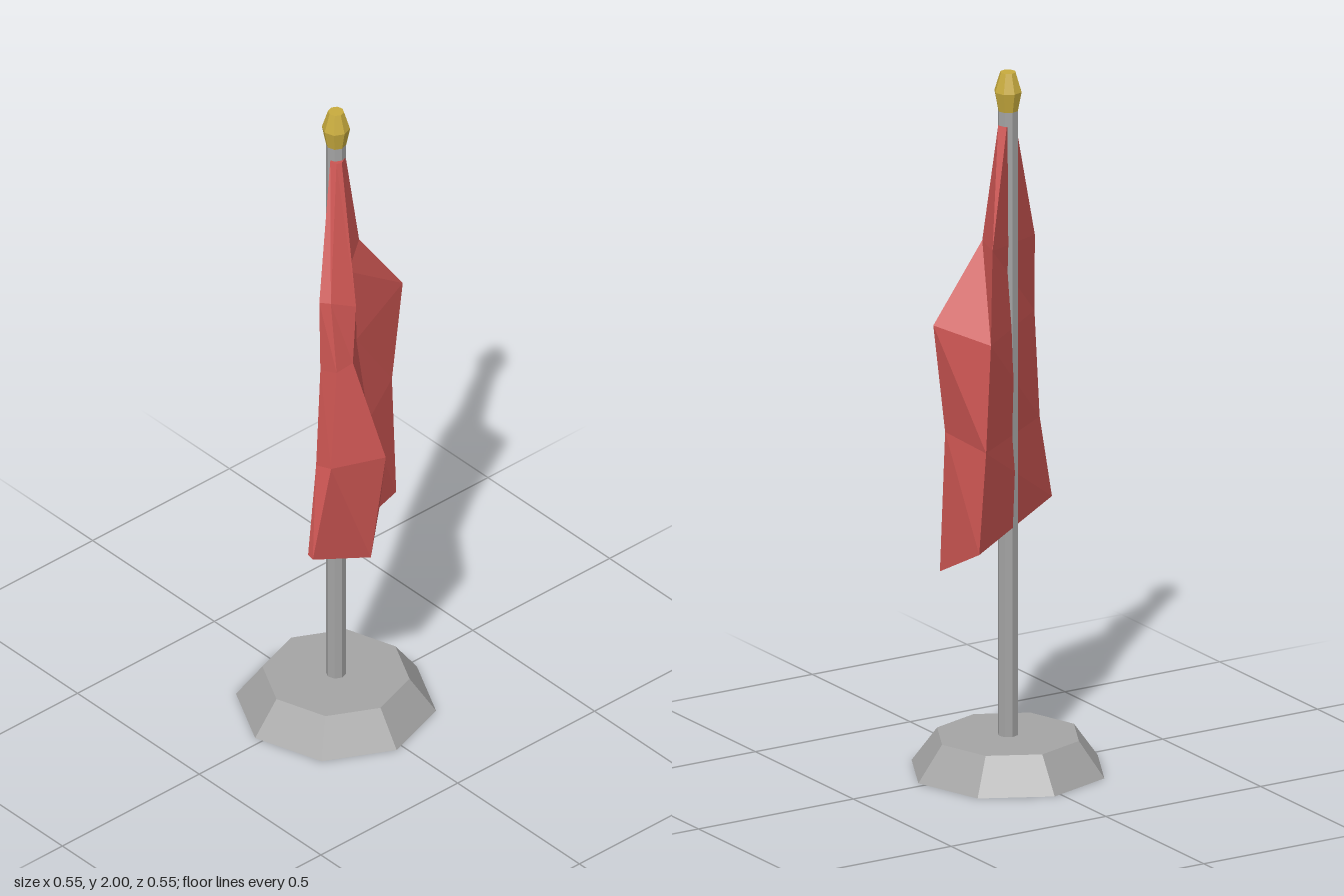
import * as THREE from 'three';

const SIDES = 8;
const TWIST = THREE.MathUtils.degToRad(-4.8);

function material(name, color) {
  const m = new THREE.MeshStandardMaterial({ color, flatShading: true });
  m.name = name;
  return m;
}

// Draped cloth: each ring runs around the folds, from the top hem to the bottom hem.
function drapeGeometry() {
  const rings = [
    [[-0.025, 1.85, -0.02], [0.0, 1.85, -0.032], [0.022, 1.85, -0.015], [0.035, 1.85, 0.01], [0.03, 1.85, 0.025], [0.01, 1.85, 0.03]],
    [[-0.095, 1.53, -0.11], [0.005, 1.53, -0.08], [0.045, 1.48, -0.005], [0.15, 1.45, 0.06], [0.125, 1.48, 0.13], [0.1, 1.48, 0.15]],
    [[-0.15, 1.28, -0.15], [0.01, 1.31, -0.235], [0.05, 1.24, -0.03], [0.165, 1.28, 0.085], [0.16, 1.27, 0.14], [0.11, 1.26, 0.155]],
    [[-0.165, 0.98, -0.175], [0.005, 1.0, -0.2], [0.055, 0.95, -0.07], [0.255, 0.99, 0.045], [0.165, 0.96, 0.165], [0.115, 0.95, 0.175]],
    [[-0.185, 0.7, -0.21], [0.0, 0.605, -0.22], [0.055, 0.637, -0.11], [0.185, 0.61, 0.037], [0.18, 0.7, 0.245], [0.155, 0.7, 0.24]],
  ];
  const n = rings[0].length;
  const last = (rings.length - 1) * n;
  const index = [];
  for (let r = 0; r < rings.length - 1; r++) {
    for (let i = 0; i < n; i++) {
      const a = r * n + i, b = r * n + (i + 1) % n;
      index.push(a, b, a + n, b, b + n, a + n);
    }
  }
  // Close the top and the bottom hem
  for (let i = 1; i < n - 1; i++) {
    index.push(0, i + 1, i);
    index.push(last, last + i, last + i + 1);
  }
  const g = new THREE.BufferGeometry();
  g.setAttribute('position', new THREE.Float32BufferAttribute(rings.flat(2), 3));
  g.setIndex(index);
  g.computeVertexNormals();
  return g;
}

export function createModel() {
  const model = new THREE.Group();
  model.name = 'flagOnStand';

  const grey = material('grey metal', 0xa4a4a4);
  const gold = material('gold', 0xc8ab3e);
  const red = material('red cloth', 0xcb5552);
  red.side = THREE.DoubleSide;

  const add = (name, geometry, mat, y = 0) => {
    const mesh = new THREE.Mesh(geometry, mat);
    mesh.name = name;
    mesh.position.y = y;
    model.add(mesh);
  };

  // Bevelled octagonal foot and the pole
  add('base', new THREE.CylinderGeometry(0.203, 0.276, 0.1, SIDES, 1, false, TWIST), grey, 0.05);
  add('pole', new THREE.CylinderGeometry(0.028, 0.028, 1.82, SIDES, 1, false, TWIST), grey, 0.99);

  // Faceted finial
  const profile = [[0, 1.89], [0.028, 1.89], [0.039, 1.945], [0.022, 2.0], [0, 2.0]]
    .map(([x, y]) => new THREE.Vector2(x, y));
  add('finial', new THREE.LatheGeometry(profile, SIDES, TWIST), gold);

  add('flag', drapeGeometry(), red);
  return model;
}
